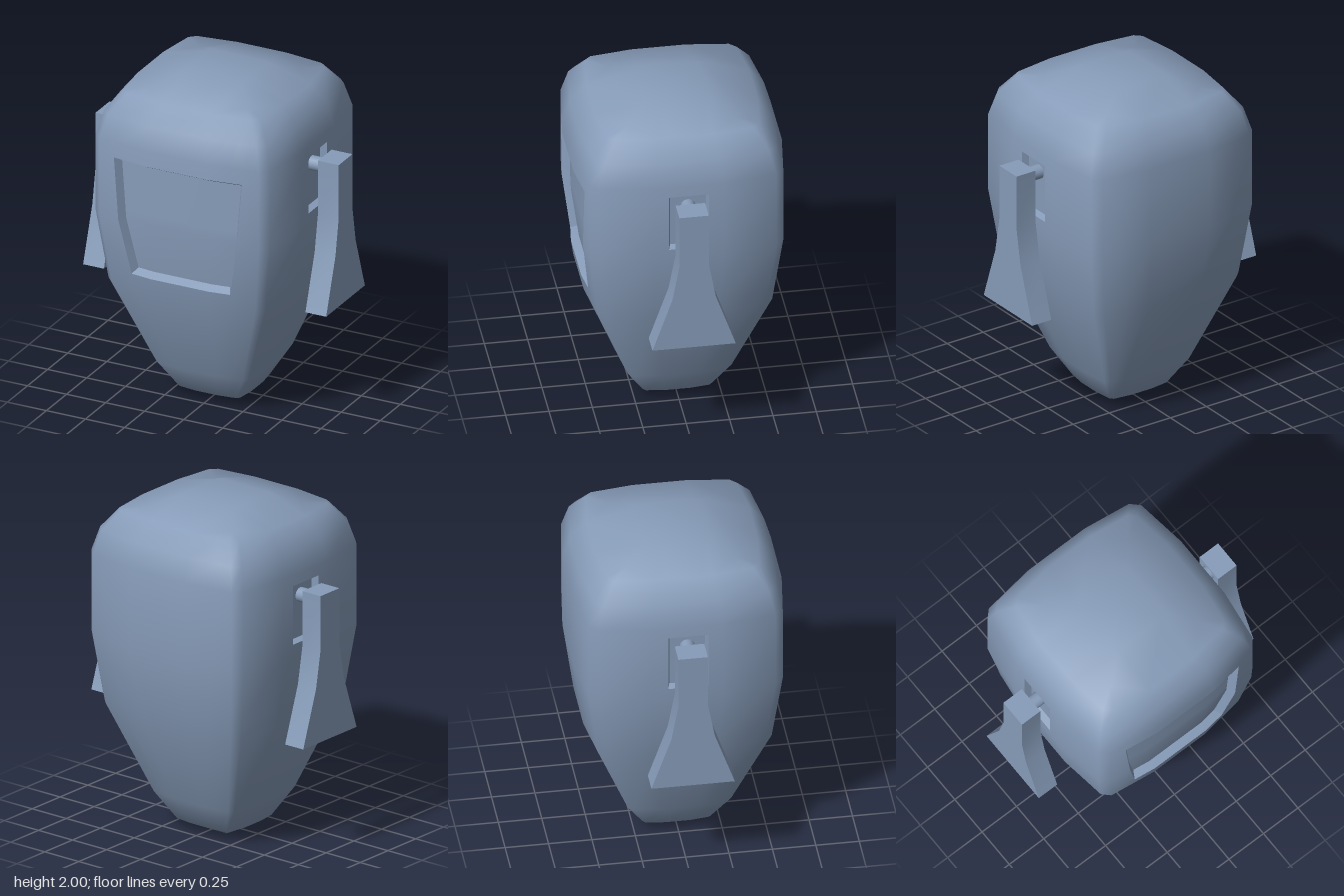
import * as THREE from 'three';
import { toCreasedNormals } from 'three/addons/utils/BufferGeometryUtils.js';

const material = new THREE.MeshStandardMaterial({ color: 0x879cb9 });

// Half-width of the shell at each height
const PROFILE = [[0, 0.11], [0.05, 0.215], [0.22, 0.32], [0.77, 0.54], [1.2, 0.6],
  [1.68, 0.6], [1.82, 0.56], [1.935, 0.47], [2, 0.19]];
// Upward tilt of the smooth surface normal, in degrees, at each height
const TILT = [[0, -80], [0.05, -45], [0.22, -25], [0.77, -15], [1.2, -4],
  [1.68, 7], [1.82, 27], [1.935, 58], [2, 82]];
// Sideways turn of the normal, in degrees, across half a face
const TURN = [[0, 0], [0.333, 4], [0.85, 27]];
// Half-width of the window opening, as a fraction of the shell half-width
const WINDOW = [[0.862, 0.57], [1.2, 0.633], [1.585, 0.683]];
const ROWS = [0.05, 0.22, 0.77, 0.862, 1.2, 1.26, 1.585, 1.615, 1.68, 1.82, 1.935];
const SLOT = 0.192;

function sample(table, y) {
  if (y <= table[0][0]) return table[0][1];
  for (let i = 1; i < table.length; i++) {
    const [y0, v0] = table[i - 1], [y1, v1] = table[i];
    if (y <= y1) return v0 + (v1 - v0) * (y - y0) / (y1 - y0);
  }
  return table[table.length - 1][1];
}

// Turn a point of the front face (t sideways, n outward) onto face 0 front, 1 left, 2 back, 3 right
function onFace(face, t, y, n) {
  const s = Math.round(Math.sin(face * Math.PI / 2)), c = Math.round(Math.cos(face * Math.PI / 2));
  return [s * n + c * t, y, c * n - s * t];
}

// Point on one of the four bowed faces
function surface(face, a, y, inset = 0) {
  const w = sample(PROFILE, y);
  const bow = 1 - 0.07 * Math.max(0, (Math.abs(a) - 0.333) / 0.517);
  return onFace(face, w * a, y, w * bow - inset);
}

function normalAt(face, turn, tilt) {
  const u = THREE.MathUtils.degToRad(turn), v = THREE.MathUtils.degToRad(tilt);
  return onFace(face, Math.sin(u) * Math.cos(v), Math.sin(v), Math.cos(u) * Math.cos(v));
}

// Column positions across a face; the opening edges are among them
function columns(face, y) {
  const half = face % 2 ? [SLOT, 0.333, 0.85] : [0.333, sample(WINDOW, y), 0.85];
  return [...half.map(v => -v).reverse(), ...half];
}

function makeGeometry(points, index) {
  const g = new THREE.BufferGeometry();
  g.setAttribute('position', new THREE.Float32BufferAttribute(points.flat(), 3));
  g.setIndex(index);
  return g;
}

const isOpen = (y, i) => {
  const face = Math.floor(i / 6), col = i % 6;
  if (face === 0) return col >= 1 && col <= 3 && y >= 0.862 && y < 1.585;
  return face % 2 === 1 && col === 2 && y >= 1.26 && y < 1.615;
};

// Lofted shell with openings for the window and side slots
function shellGeometry() {
  const N = 24, points = [], normals = [], index = [], rowY = [];
  const addRing = (y, vertex) => {
    rowY.push(y);
    for (let f = 0; f < 4; f++) {
      for (const a of columns(f, y)) {
        const [p, n] = vertex(f, a);
        points.push(p);
        normals.push(n);
      }
    }
  };
  // Ring with its corners cut straight across
  const cutRing = y => addRing(y, (f, a) => {
    if (Math.abs(a) < 0.34) return [surface(f, a, y), normalAt(f, Math.sign(a) * 4, sample(TILT, y))];
    const m = 0.667 * sample(PROFILE, y);
    return [onFace(f, Math.sign(a) * m, y, m), normalAt(f, Math.sign(a) * 45, sample(TILT, y) * 1.12)];
  });
  // Small square closing each end
  const endRing = (y, from) => {
    const w = sample(PROFILE, y);
    addRing(y, (f, a) => {
      const p = surface(f, a, from).map(v => THREE.MathUtils.clamp(v, -w, w));
      const n = new THREE.Vector3(p[0] * 0.8, (y - 1) * w * 5, p[2] * 0.8).normalize();
      return [[p[0], y, p[2]], n.toArray()];
    });
  };
  endRing(0, 0.05);
  cutRing(0.05);
  for (const y of ROWS) {
    addRing(y, (f, a) => [surface(f, a, y),
      normalAt(f, Math.sign(a) * sample(TURN, Math.abs(a)), sample(TILT, y))]);
  }
  cutRing(1.935);
  endRing(2, 1.935);

  const last = rowY.length - 1;
  for (let j = 0; j < last; j++) {
    for (let i = 0; i < N; i++) {
      if (isOpen(rowY[j], i)) continue;
      const a = j * N + i, b = j * N + (i + 1) % N;
      index.push(a, b, b + N, a, b + N, a + N);
    }
  }
  const bottom = points.push([0, 0, 0]) - 1, top = points.push([0, 2, 0]) - 1;
  normals.push([0, -1, 0], [0, 1, 0]);
  for (let i = 0; i < N; i++) {
    const k = (i + 1) % N;
    index.push(bottom, k, i, top, last * N + i, last * N + k);
  }
  const g = makeGeometry(points, index);
  g.setAttribute('normal', new THREE.Float32BufferAttribute(normals.flat(), 3));
  return g;
}

// Sunken panel: a pushed-in copy of the missing patch plus sloping walls
function recessGeometry(face, firstCol, lastCol, y0, y1, border, depth) {
  const ys = ROWS.filter(y => y >= y0 && y <= y1);
  const R = ys.length, C = lastCol - firstCol + 1;
  const rim = [], floor = [], index = [];
  ys.forEach((y, r) => {
    const yIn = r === 0 ? y + border : r === R - 1 ? y - border : y;
    const outer = columns(face, y), inner = columns(face, yIn);
    for (let c = 0; c < C; c++) {
      let a = inner[firstCol + c];
      if (c === 0 || c === C - 1) a -= Math.sign(a) * border / sample(PROFILE, yIn);
      rim.push(surface(face, outer[firstCol + c], y));
      floor.push(surface(face, a, yIn, depth));
    }
  });
  const F = rim.length;
  const quad = (a, b, c, d) => index.push(a, b, c, a, c, d);
  for (let r = 0; r < R - 1; r++) {
    for (let c = 0; c < C - 1; c++) {
      const a = F + r * C + c;
      quad(a, a + 1, a + 1 + C, a + C);
    }
  }
  const loop = [];
  for (let c = 0; c < C - 1; c++) loop.push(c);
  for (let r = 0; r < R - 1; r++) loop.push(r * C + C - 1);
  for (let c = C - 1; c > 0; c--) loop.push((R - 1) * C + c);
  for (let r = R - 1; r > 0; r--) loop.push(r * C);
  loop.forEach((p, i) => {
    const q = loop[(i + 1) % loop.length];
    quad(p, q, q + F, p + F);
  });
  return toCreasedNormals(makeGeometry([...rim, ...floor], index), 0.4);
}

export function createModel() {
  const model = new THREE.Group();
  model.name = 'mask';
  const add = (name, geometry) => {
    const mesh = new THREE.Mesh(geometry, material);
    mesh.name = name;
    model.add(mesh);
    return mesh;
  };

  add('shell', shellGeometry());
  add('windowRecess', recessGeometry(0, 1, 4, 0.862, 1.585, 0.027, 0.05));

  // Flared side arm outline, drawn in (z, y)
  const half = [[0.24, 0.702], [0.125, 1.035], [0.085, 1.255], [0.085, 1.588]];
  const outline = [...half, ...half.map(([z, y]) => [-z, y]).reverse()];
  const armShape = new THREE.Shape(outline.map(([z, y]) => new THREE.Vector2(z, y)));
  const armGeometry = toCreasedNormals(
    new THREE.ExtrudeGeometry(armShape, { depth: 0.133, bevelEnabled: false }), 0.5);

  for (const [side, face, label] of [[1, 1, 'left'], [-1, 3, 'right']]) {
    add(label + 'SlotRecess', recessGeometry(face, 2, 3, 1.26, 1.615, 0.012, 0.04));

    const peg = add(label + 'Peg', new THREE.CylinderGeometry(0.043, 0.043, 0.11, 16));
    peg.rotation.z = Math.PI / 2;
    peg.position.set(side * 0.6, 1.525, 0);

    const arm = add(label + 'Arm', armGeometry);
    arm.rotation.y = side * Math.PI / 2;
    arm.position.x = side * 0.645;
  }
  return model;
}
